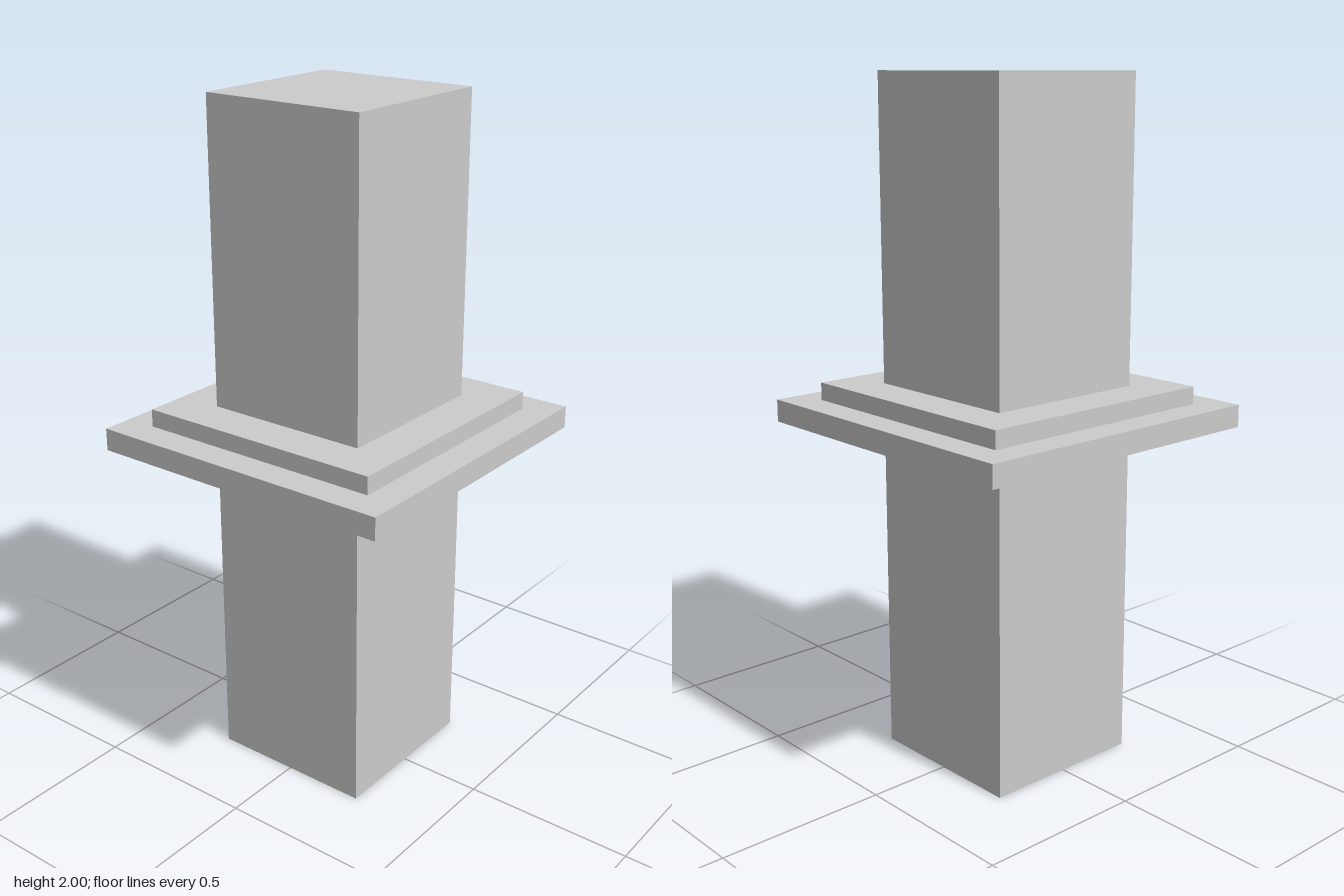
import * as THREE from 'three';

const material = new THREE.MeshStandardMaterial({ color: 0xcccccc });
const shellMaterial = new THREE.MeshStandardMaterial({ color: 0xcccccc, side: THREE.DoubleSide });

// Square block of the given width, between two heights
function squareBlock(width, bottom, top) {
  return new THREE.BoxGeometry(width, top - bottom, width).translate(0, (bottom + top) / 2, 0);
}

// The same block as a thin cap, open underneath
function openCap(width, bottom, top) {
  const geometry = squareBlock(width, bottom, top);
  const index = Array.from(geometry.index.array);
  index.splice(18, 6); // the downward face
  geometry.setIndex(index);
  geometry.clearGroups();
  return geometry;
}

export function createModel() {
  const model = new THREE.Group();
  model.name = 'collaredPillar';

  const add = (name, geometry, mat) => {
    const mesh = new THREE.Mesh(geometry, mat);
    mesh.name = name;
    model.add(mesh);
  };

  // Pillar running the full height
  add('pillar', squareBlock(0.5, 0, 2), material);

  // Stepped collar: two open caps, the upper skirt dipping just through the lower top
  add('lowerCollar', openCap(0.945, 1.003, 1.069), shellMaterial);
  add('upperCollar', openCap(0.76, 1.058, 1.121), shellMaterial);

  return model;
}
